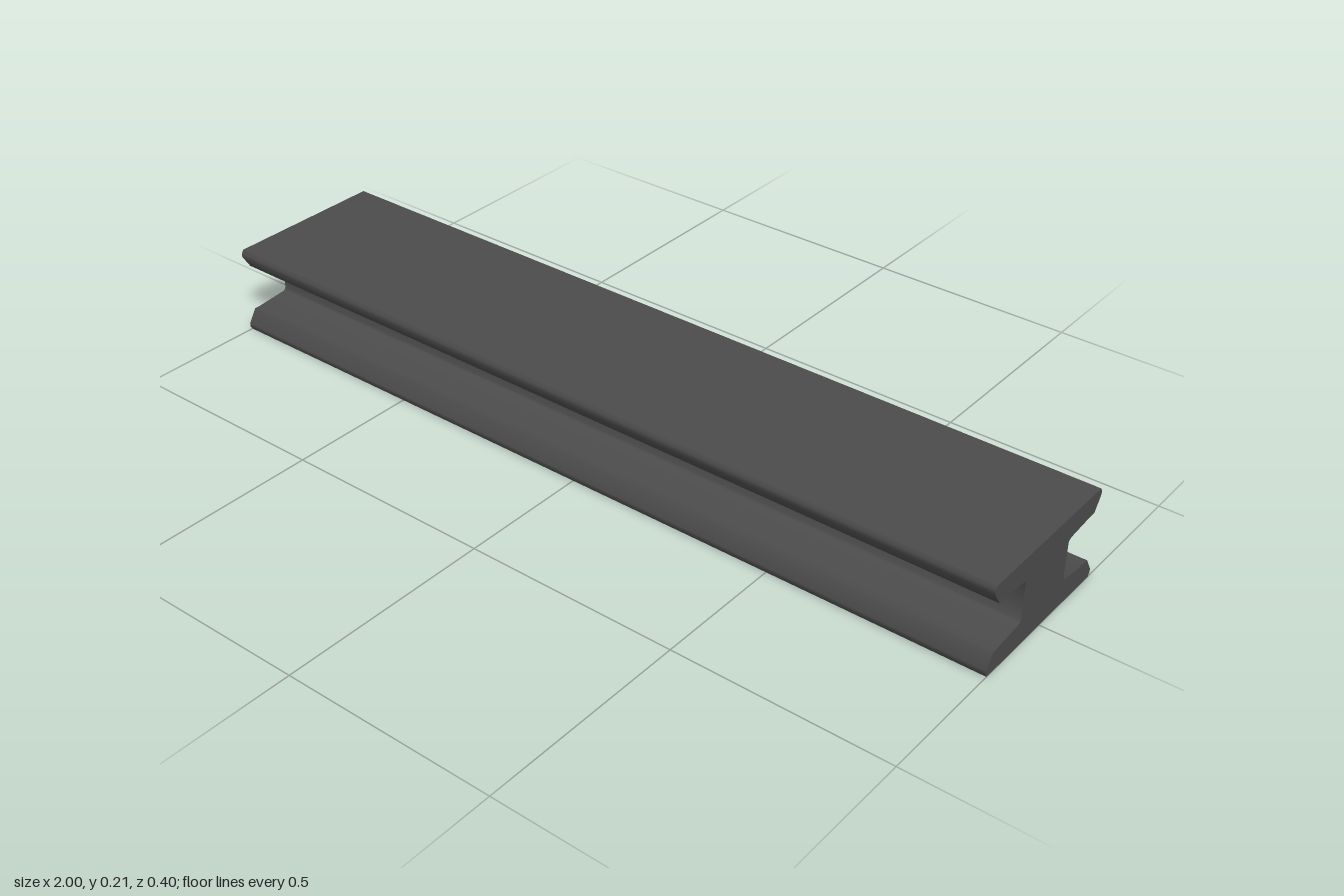
import * as THREE from 'three';
import { toCreasedNormals } from 'three/addons/utils/BufferGeometryUtils.js';

const LENGTH = 2;
const HEIGHT = 0.212;

// Lower right quarter of the beam section: [half width, height]
const QUARTER = [
  [0.194, 0], [0.199, 0.008], [0.199, 0.017], // rounded flange tip
  [0.179, 0.049], [0.165, 0.049],             // flange edge
  [0.09, 0.056], [0.085, 0.058], [0.081, 0.063], // fillet into the web
];

export function createModel() {
  const steel = new THREE.MeshStandardMaterial({ color: 0x4c4c4c });
  steel.name = 'dark steel';

  // Mirror the quarter upwards, then across, running counter-clockwise
  const upper = QUARTER.map(([w, y]) => [w, HEIGHT - y]).reverse();
  const right = [...QUARTER, ...upper];
  const left = right.map(([w, y]) => [-w, y]).reverse();
  const section = new THREE.Shape([...right, ...left].map(([w, y]) => new THREE.Vector2(w, y)));

  // Sweep the section along x
  const extruded = new THREE.ExtrudeGeometry(section, { depth: LENGTH, bevelEnabled: false });
  extruded.translate(0, 0, -LENGTH / 2);
  extruded.rotateY(Math.PI / 2);

  const beam = new THREE.Mesh(toCreasedNormals(extruded, THREE.MathUtils.degToRad(50)), steel);
  beam.name = 'beam';

  const model = new THREE.Group();
  model.name = 'steelBeam';
  model.add(beam);
  return model;
}
